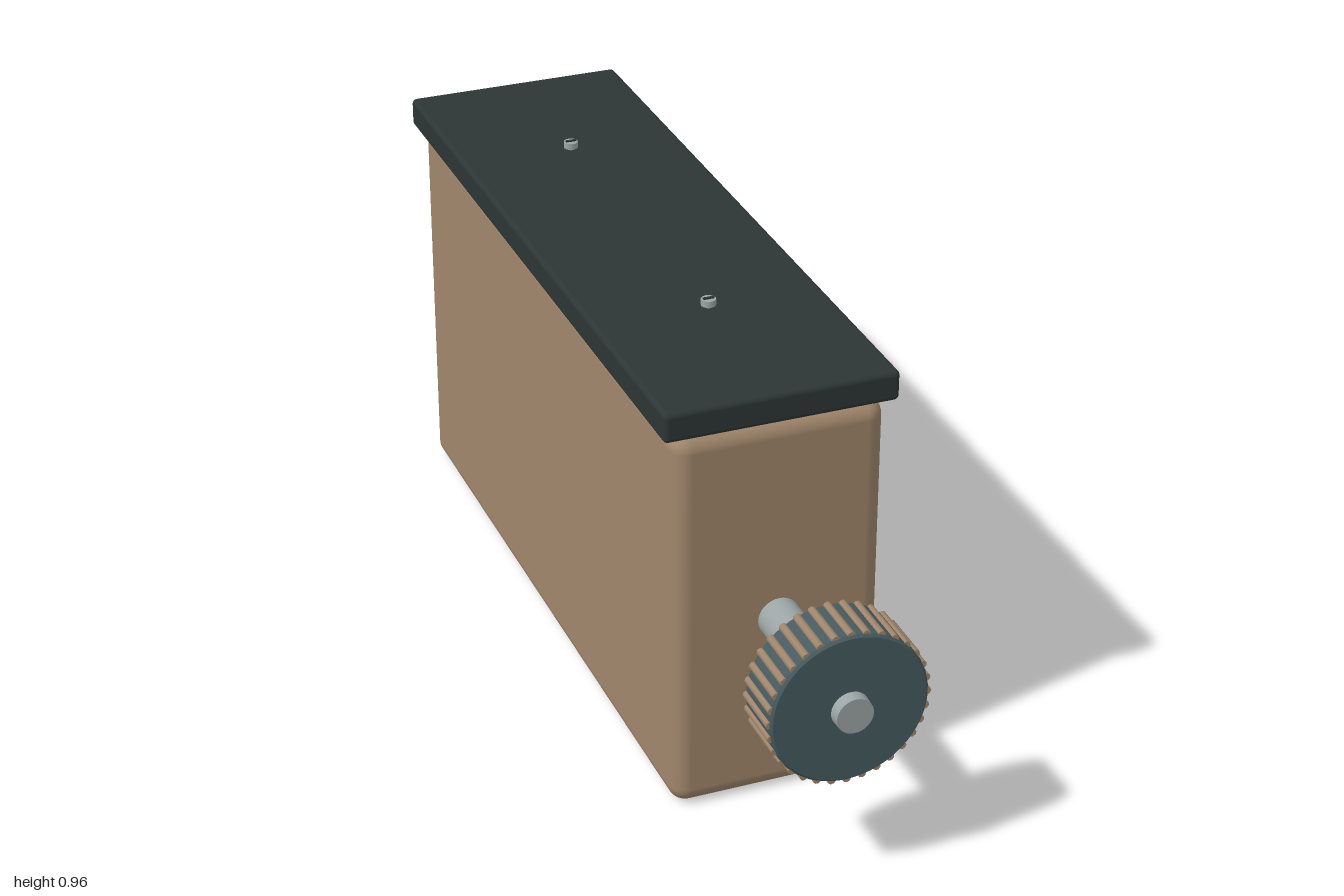
import * as THREE from 'three';
import { RoundedBoxGeometry } from 'three/addons/geometries/RoundedBoxGeometry.js';

const mat = (name, color) => {
  const m = new THREE.MeshStandardMaterial({ color });
  m.name = name;
  return m;
};

export function createModel() {
  const tan = mat('tan', 0xa0866b);
  const dark = mat('charcoal', 0x2d3635);
  const teal = mat('slate teal', 0x465b60);
  const steel = mat('steel', 0x9ca5a5);
  const model = new THREE.Group();
  model.name = 'cranklessBox';

  const add = (name, geometry, material, x, y, z, parent = model) => {
    const mesh = new THREE.Mesh(geometry, material);
    mesh.name = name;
    mesh.position.set(x, y, z);
    parent.add(mesh);
    return mesh;
  };

  // Case and overhanging lid
  add('body', new RoundedBoxGeometry(0.452, 0.87, 1.61, 5, 0.038), tan, 0, 0.435, -0.185);
  add('lid', new RoundedBoxGeometry(0.5, 0.066, 1.625, 4, 0.011), dark, 0, 0.903, -0.1875);

  // Lid screws: hexagonal head, stem and dark slot
  for (const z of [0.23, -0.6]) {
    const screw = new THREE.Group();
    screw.name = 'lidScrew';
    screw.position.set(0, 0.936, z);
    model.add(screw);
    add('screwStem', new THREE.CylinderGeometry(0.009, 0.009, 0.01, 16), steel, 0, 0.003, 0, screw);
    add('screwHead', new THREE.CylinderGeometry(0.016, 0.016, 0.014, 12), steel, 0, 0.011, 0, screw);
    add('screwSlot', new THREE.BoxGeometry(0.024, 0.004, 0.006), dark, 0, 0.019, 0, screw);
  }

  // Knob assembly, built upright and then turned to face the front
  const knob = new THREE.Group();
  knob.name = 'knobAssembly';
  knob.position.set(0, 0.418, 0);
  knob.rotation.x = Math.PI / 2;
  model.add(knob);

  add('shaft', new THREE.CylinderGeometry(0.045, 0.045, 0.28, 32), steel, 0, 0.72, 0, knob);
  add('shaftCap', new THREE.CylinderGeometry(0.039, 0.041, 0.03, 32), steel, 0, 0.985, 0, knob);

  // Bevelled knob; doubled points keep its edges crisp
  const profile = [
    [0, 0.848], [0.162, 0.848], [0.162, 0.848], [0.168, 0.854], [0.168, 0.854],
    [0.168, 0.969], [0.168, 0.969], [0.162, 0.975], [0.162, 0.975], [0, 0.975],
  ].map(([r, y]) => new THREE.Vector2(r, y));
  add('knob', new THREE.LatheGeometry(profile, 64), teal, 0, 0, 0, knob);

  // Grip ridges around the rim
  const ridge = new THREE.CylinderGeometry(0.009, 0.009, 0.117, 8);
  const count = 32;
  for (let i = 0; i < count; i++) {
    const a = (i / count) * Math.PI * 2;
    add('gripRidge', ridge, tan, Math.sin(a) * 0.166, 0.9115, Math.cos(a) * 0.166, knob).rotation.y = a;
  }
  return model;
}
